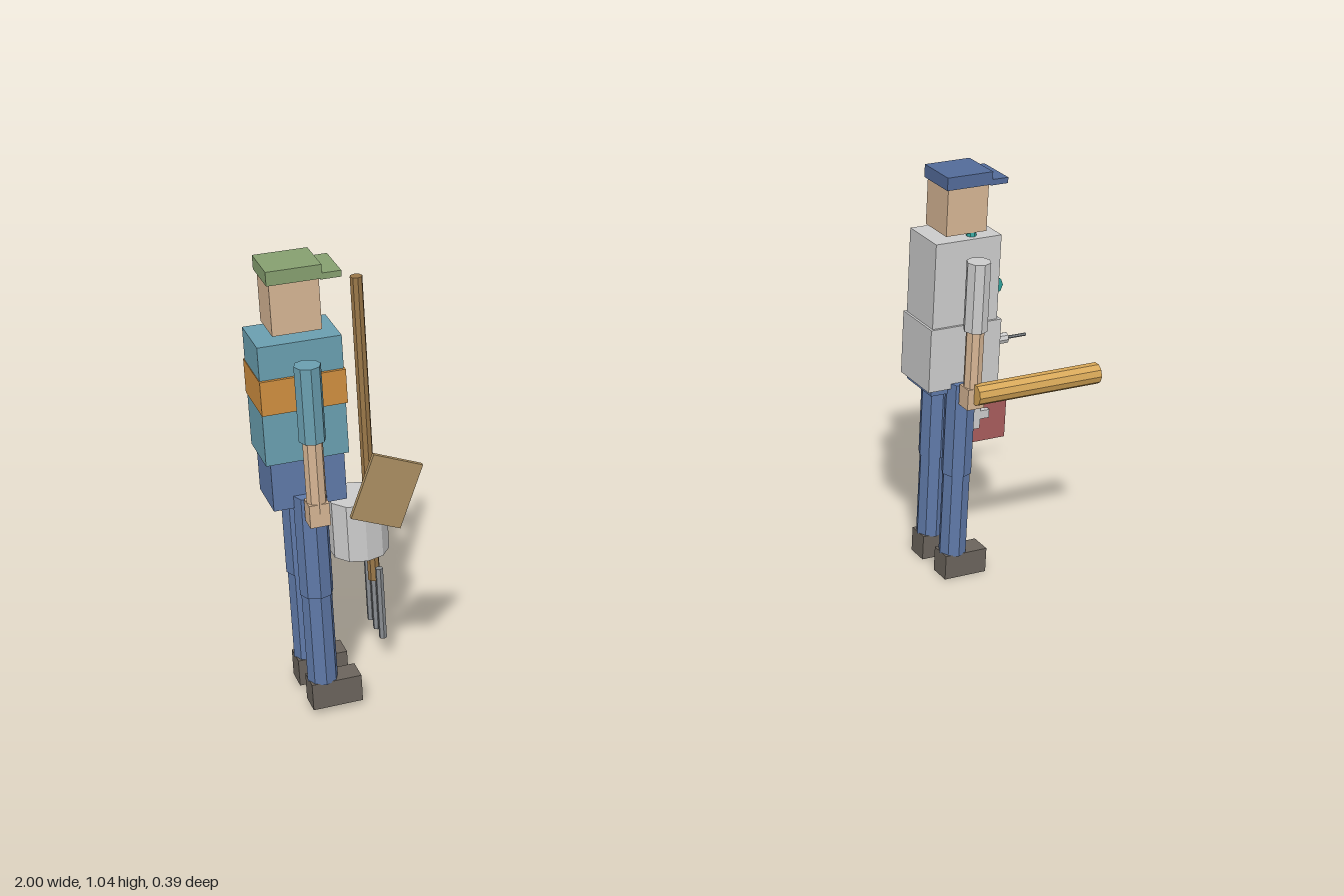
import * as THREE from 'three';

const GREY = 0xcccccc, SKIN = 0xd6b594, DENIM = 0x5f79a8, SHOE = 0x6b645c, SHIRT = 0x6a9fb0;
const mat = (color) => new THREE.MeshStandardMaterial({ color, flatShading: true, side: THREE.DoubleSide });

function add(parent, name, geometry, color, x, y, z) {
  const mesh = new THREE.Mesh(geometry, mat(color));
  mesh.name = name;
  mesh.position.set(x, y, z);
  parent.add(mesh);
  return mesh;
}

// box given by its minimum and maximum on each axis
function box(parent, name, color, [x0, x1], [y0, y1], [z0, z1]) {
  return add(parent, name, new THREE.BoxGeometry(x1 - x0, y1 - y0, z1 - z0), color,
    (x0 + x1) / 2, (y0 + y1) / 2, (z0 + z1) / 2);
}

// faceted rod between two points
function rod(parent, name, color, from, to, r, sides = 8) {
  const a = new THREE.Vector3(...from), b = new THREE.Vector3(...to);
  const dir = b.clone().sub(a);
  const mid = a.clone().add(b).multiplyScalar(0.5);
  const mesh = add(parent, name, new THREE.CylinderGeometry(r, r, dir.length(), sides), color, mid.x, mid.y, mid.z);
  mesh.quaternion.setFromUnitVectors(new THREE.Vector3(0, 1, 0), dir.normalize());
  return mesh;
}

// shared body, facing +x, centred on its own x = 0 and z = 0
function makeFigure(name, { capColor, sleeveColor, armZ }) {
  const g = new THREE.Group();
  g.name = name;
  for (const s of [-1, 1]) {
    const legZ = s * 0.0575, az = s * armZ;
    box(g, 'shoe', SHOE, [-0.032, 0.08], [0, 0.063], [legZ - 0.0285, legZ + 0.0285]);
    rod(g, 'lowerLeg', DENIM, [0, 0.06, legZ], [0, 0.278, legZ], 0.034);
    rod(g, 'upperLeg', DENIM, [0, 0.276, legZ], [0, 0.515, legZ], 0.037);
    rod(g, 'sleeve', sleeveColor, [0, 0.664, az], [0, 0.834, az], 0.029);
    rod(g, 'forearm', SKIN, [0, 0.5, az], [0, 0.666, az], 0.022);
    box(g, 'hand', SKIN, [-0.022, 0.022], [0.47, 0.522], [az - 0.021, az + 0.021]);
  }
  box(g, 'hips', DENIM, [-0.08, 0.08], [0.487, 0.597], [-0.06, 0.06]);
  box(g, 'head', SKIN, [-0.053, 0.053], [0.88, 1.0], [-0.049, 0.049]);
  box(g, 'cap', capColor, [-0.059, 0.059], [0.994, 1.025], [-0.055, 0.055]);
  box(g, 'capBrim', capColor, [0.055, 0.1], [0.992, 1.006], [-0.055, 0.055]);
  return g;
}

export function createModel() {
  const model = new THREE.Group();
  model.name = 'workers';
  const midZ = 0.033;

  // worker in a shirt with a broad chest band
  const worker = makeFigure('shirtWorker', { capColor: 0x86a070, sleeveColor: SHIRT, armZ: 0.115 });
  worker.position.set(-0.909, 0.011, midZ);
  box(worker, 'shirt', SHIRT, [-0.09, 0.09], [0.596, 0.866], [-0.063, 0.063]);
  box(worker, 'chestBand', 0xcf8f40, [-0.0915, 0.0925], [0.714, 0.791], [-0.07, 0.07]);
  model.add(worker);

  // board held at the side
  const board = add(model, 'board', new THREE.BoxGeometry(0.115, 0.151, 0.011), 0xab8f62, -0.762, 0.537, 0.168);
  board.rotation.z = -0.39;

  // fork with wooden shaft and three tines
  rod(model, 'forkShaft', 0x9a7748, [-0.73, 0.19, -0.094], [-0.73, 0.928, -0.094], 0.014);
  for (const z of [-0.047, -0.094, -0.141])
    rod(model, 'forkTine', 0x888c90, [-0.73, 0.062, z], [-0.73, 0.24, z], 0.009, 6);

  // bucket around the shaft
  add(model, 'bucket', new THREE.CylinderGeometry(0.067, 0.067, 0.137, 10), GREY, -0.751, 0.324, -0.127);

  // medic in a grey coat
  const medic = makeFigure('coatMedic', { capColor: 0x536b99, sleeveColor: GREY, armZ: 0.112 });
  medic.position.set(0.674, 0, midZ);
  box(medic, 'coatTop', GREY, [-0.086, 0.086], [0.65, 0.87], [-0.063, 0.063]);
  box(medic, 'coatSkirt', GREY, [-0.092, 0.095], [0.502, 0.66], [-0.069, 0.069]);
  for (const s of [-1, 1])
    rod(medic, 'listeningTube', 0x2f9f98, [0.02, 0.882, s * 0.035], [0.01, 0.747, s * 0.068], 0.012);
  const disc = add(medic, 'listeningDisc', new THREE.CylinderGeometry(0.021, 0.021, 0.017, 8), 0x2f9f98, 0.084, 0.739, 0.042);
  disc.rotation.x = Math.PI / 2;
  model.add(medic);

  // wooden club
  rod(model, 'club', 0xd6a657, [0.668, 0.509, 0.169], [1.0, 0.509, 0.169], 0.026, 10);

  // first aid case with cross
  box(model, 'aidCase', 0xa85c5c, [0.722, 0.904], [0.256, 0.392], [-0.182, -0.074]);
  for (const [w, h] of [[0.036, 0.011], [0.011, 0.036]])
    box(model, 'caseCross', GREY, [0.813 - w, 0.813 + w], [0.334 - h, 0.334 + h], [-0.076, -0.061]);

  // syringe
  rod(model, 'syringeBody', GREY, [0.765, 0.516, -0.094], [0.905, 0.516, -0.094], 0.014);
  rod(model, 'syringeNeedle', 0x888c90, [0.9, 0.516, -0.094], [0.96, 0.516, -0.094], 0.004, 6);

  return model;
}
